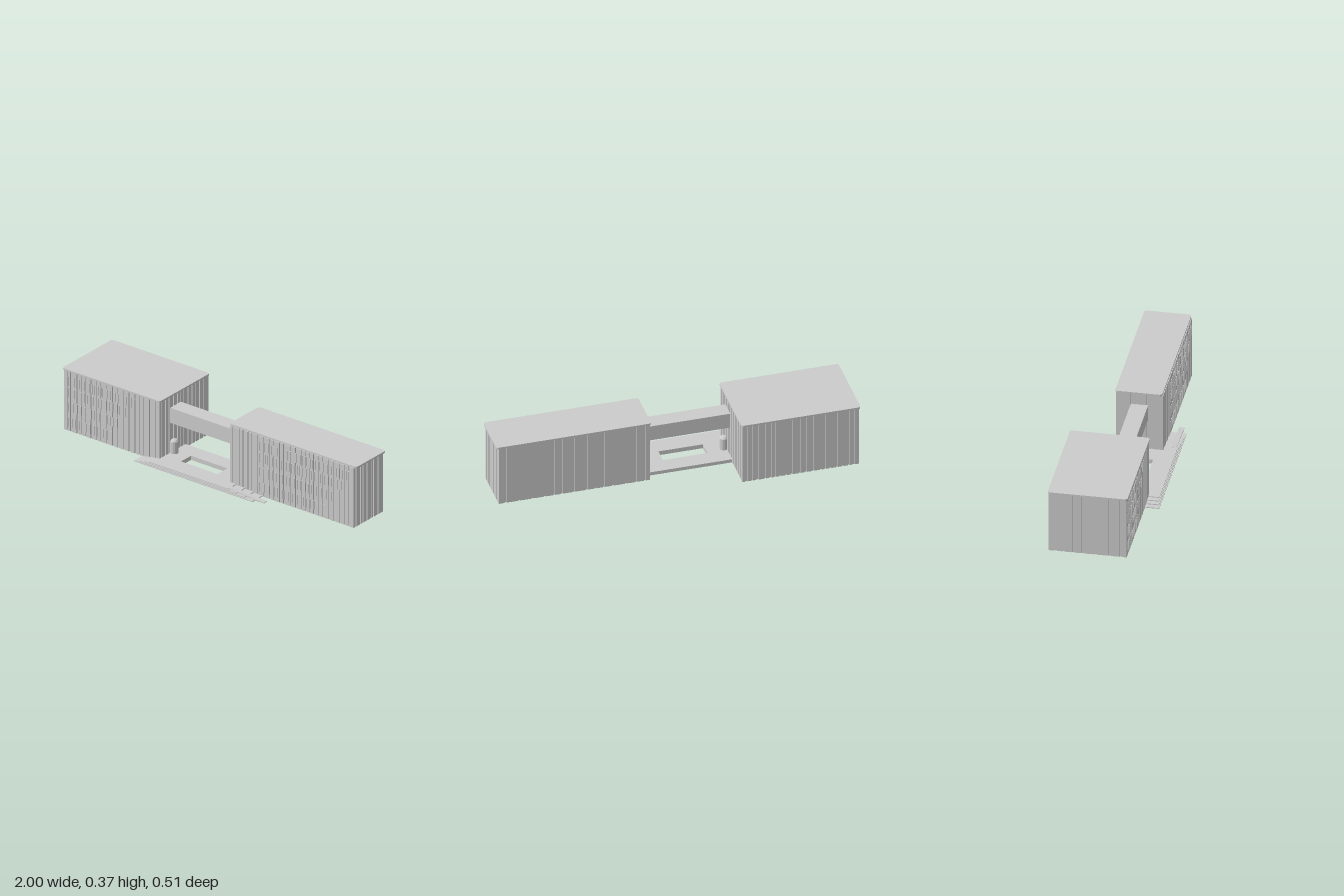
import * as THREE from 'three';

const material = new THREE.MeshStandardMaterial({ color: 0xcccccc, flatShading: true });

let seed = 7;
const random = () => (seed = (seed * 16807) % 2147483647) / 2147483647;

function add(group, name, geometry, x = 0, y = 0, z = 0) {
  const mesh = new THREE.Mesh(geometry, material);
  mesh.name = name;
  mesh.position.set(x, y, z);
  group.add(mesh);
  return mesh;
}

// Plan drawn as [x, z] corners, raised from y0 to y1
function slab(points, y0, y1, hole) {
  const toPlan = (list) => list.map(([x, z]) => new THREE.Vector2(x, -z));
  const shape = new THREE.Shape(toPlan(points));
  if (hole) shape.holes.push(new THREE.Path(toPlan(hole)));
  const geometry = new THREE.ExtrudeGeometry(shape, { depth: y1 - y0, bevelEnabled: false });
  return geometry.rotateX(-Math.PI / 2).translate(0, y0, 0);
}

const rectangle = (x0, x1, z0, z1) => [[x0, z1], [x1, z1], [x1, z0], [x0, z0]];

// Wall outline with narrow vertical grooves at irregular distances
function groovedOutline(x0, x1, z0, z1, pitches) {
  const corners = rectangle(x0, x1, z0, z1);
  const points = [];
  const depth = 0.006, width = 0.009;
  corners.forEach(([ax, az], side) => {
    const [bx, bz] = corners[(side + 1) % 4];
    const length = Math.hypot(bx - ax, bz - az);
    const dx = (bx - ax) / length, dz = (bz - az) / length;
    const at = (t, d) => points.push([ax + dx * t + dz * d, az + dz * t - dx * d]);
    at(0, 0);
    let t = pitches[side] * 0.6;
    while (t < length - 0.02) {
      at(t, 0);
      at(t, depth);
      at(t + width, depth);
      at(t + width, 0);
      t += width + pitches[side] * (0.45 + random() * 0.8);
    }
  });
  return points;
}

// Flat roof with rounded corners
function roofGeometry(x0, x1, z0, z1, y0, y1) {
  const r = 0.014, points = [];
  [[x1 - r, z1 - r, 0], [x1 - r, z0 + r, 1], [x0 + r, z0 + r, 2], [x0 + r, z1 - r, 3]].forEach(([cx, cz, q]) => {
    for (let i = 0; i <= 4; i++) {
      const a = (q + i / 4 - 1) * Math.PI / 2;
      points.push([cx + r * Math.cos(a), cz - r * Math.sin(a)]);
    }
  });
  return slab(points, y0, y1);
}

// Slim windows scattered along four floors of a front wall
function addWindows(group, x0, x1, z) {
  const windows = new THREE.Group();
  windows.name = 'windows';
  const pane = new THREE.BoxGeometry(0.008, 0.056, 0.008);
  [0.06, 0.15, 0.235, 0.305].forEach((y, floor) => {
    const end = x1 - (3 - floor) * 0.05;
    for (let x = x0; x < end; x += 0.016 + random() * 0.022) {
      add(windows, 'window', pane, x, y, z);
    }
  });
  group.add(windows);
}

function block(name, wall, roof, pitches, windowSpan) {
  const group = new THREE.Group();
  group.name = name;
  add(group, 'groovedWalls', slab(groovedOutline(...wall, pitches), 0.005, 0.363));
  add(group, 'flatRoof', roofGeometry(...roof, 0.363, 0.373));
  addWindows(group, ...windowSpan, wall[3]);
  return group;
}

export function createModel() {
  seed = 7;
  const model = new THREE.Group();
  model.name = 'twoBlockBuilding';

  // Two grooved blocks; groove pitch is given for front, left, back and right
  model.add(block('deepBlock', [-0.99, -0.337, -0.25, 0.178], [-1, -0.33, -0.255, 0.183],
    [0.03, 0.025, 0.03, 0.06], [-0.96, -0.5]));
  model.add(block('longBlock', [0.137, 0.985, -0.09, 0.168], [0.13, 1, -0.095, 0.163],
    [0.03, 0.025, 0.055, 0.025], [0.34, 0.96]));

  // Enclosed bridge between the blocks
  add(model, 'bridge', new THREE.BoxGeometry(0.48, 0.09, 0.095), -0.1, 0.25, 0.0375);

  // Stepped terrace with a courtyard opening
  const opening = rectangle(-0.225, 0.025, 0.045, 0.133);
  const terrace = new THREE.Group();
  terrace.name = 'steppedTerrace';
  for (let i = 0; i < 4; i++) {
    const left = -0.45 + i * 0.03, right = 0.36 - i * 0.06, front = 0.255 - i * 0.005;
    const plan = [[left, front], [right, front], [right, 0.165], [0.14, 0.165],
      [0.14, -0.05], [-0.34, -0.05], [-0.34, 0.175], [left, 0.175]];
    add(terrace, 'terraceStep', slab(plan, 0.005 + i * 0.005, 0.01 + i * 0.005, opening));
  }
  // Rim around the opening, reaching the ground
  add(terrace, 'openingRim', slab(rectangle(-0.229, 0.029, 0.041, 0.137), 0, 0.0055, opening));
  model.add(terrace);

  // Access ramp at the terrace end
  const rampSide = new THREE.Shape([[0.17, 0.006], [0.42, 0.006], [0.42, 0.009], [0.17, 0.026]]
    .map(([x, y]) => new THREE.Vector2(x, y)));
  add(model, 'accessRamp', new THREE.ExtrudeGeometry(rampSide, { depth: 0.03, bevelEnabled: false }), 0, 0, 0.203);

  // Round kiosk with a low tapered cap under the bridge
  const kiosk = [[0, 0.02], [0.023, 0.02], [0.023, 0.094], [0.015, 0.103], [0, 0.106]]
    .map(([r, y]) => new THREE.Vector2(r, y));
  add(model, 'roundKiosk', new THREE.LatheGeometry(kiosk, 16), -0.322, 0, 0.067);

  return model;
}
